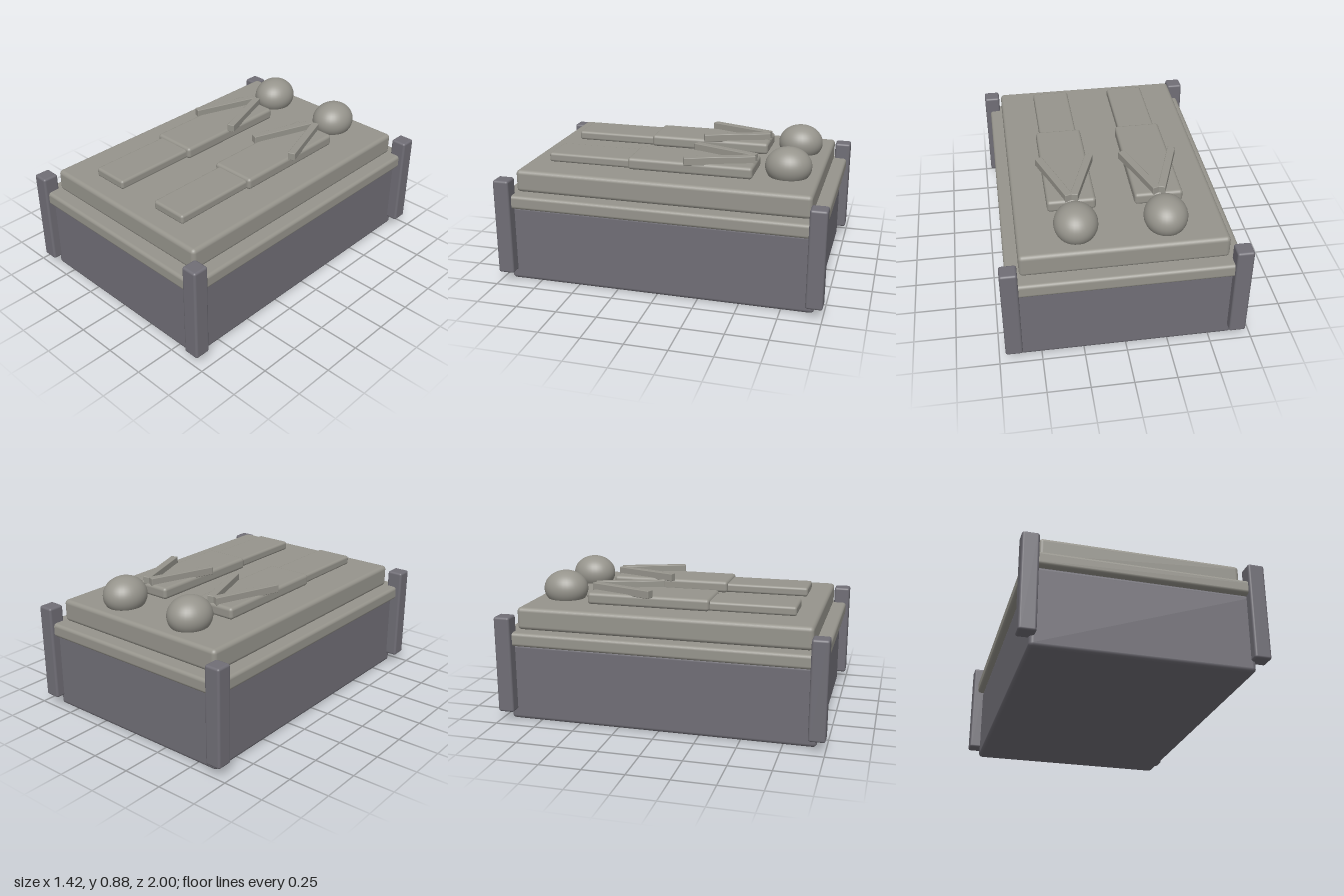
import * as THREE from 'three';
import { RoundedBoxGeometry } from 'three/addons/geometries/RoundedBoxGeometry.js';

export function createModel() {
  const model = new THREE.Group();
  model.name = 'bedWithTwoSleepers';
  const frameMat = new THREE.MeshStandardMaterial({ color: 0x706e76 });
  const softMat = new THREE.MeshStandardMaterial({ color: 0x96948c });

  // Rounded box given by its size, its centre in x and z, and its bottom height
  function block(parent, name, [w, h, d], [x, y0, z], radius, material) {
    const mesh = new THREE.Mesh(new RoundedBoxGeometry(w, h, d, 3, radius), material);
    mesh.name = name;
    mesh.position.set(x, y0 + h / 2, z);
    parent.add(mesh);
    return mesh;
  }

  // Bed: base, overhanging platform and mattress
  block(model, 'base', [1.285, 0.485, 1.89], [0, 0, 0], 0.025, frameMat);
  block(model, 'platform', [1.36, 0.085, 1.96], [0, 0.477, 0], 0.02, softMat);
  block(model, 'mattress', [1.2, 0.138, 1.8], [0, 0.562, 0], 0.025, softMat);

  // Corner posts
  for (const sx of [-1, 1]) {
    for (const sz of [-1, 1]) {
      block(model, 'cornerPost', [0.1, 0.6, 0.1], [sx * 0.662, 0.063, sz * 0.95], 0.014, frameMat);
    }
  }

  // Two sleepers lying with heads towards the back
  for (const side of [-1, 1]) {
    const sleeper = new THREE.Group();
    sleeper.name = side < 0 ? 'rightSleeper' : 'leftSleeper';
    sleeper.position.x = side * 0.258;
    model.add(sleeper);

    block(sleeper, 'torso', [0.288, 0.074, 0.77], [0, 0.698, -0.133], 0.02, softMat);
    block(sleeper, 'legs', [0.237, 0.058, 0.56], [0, 0.698, 0.491], 0.016, softMat);

    const head = new THREE.Mesh(new THREE.SphereGeometry(1, 32, 24), softMat);
    head.name = 'head';
    head.scale.set(0.127, 0.115, 0.14);
    head.position.set(0, 0.76, -0.71);
    sleeper.add(head);

    // Arms splay outwards from the neck
    for (const s of [-1, 1]) {
      const arm = block(sleeper, 'arm', [0.046, 0.049, 0.43], [s * 0.086, 0.763, -0.308], 0.004, softMat);
      arm.rotation.y = s * 0.34;
    }
  }
  return model;
}
